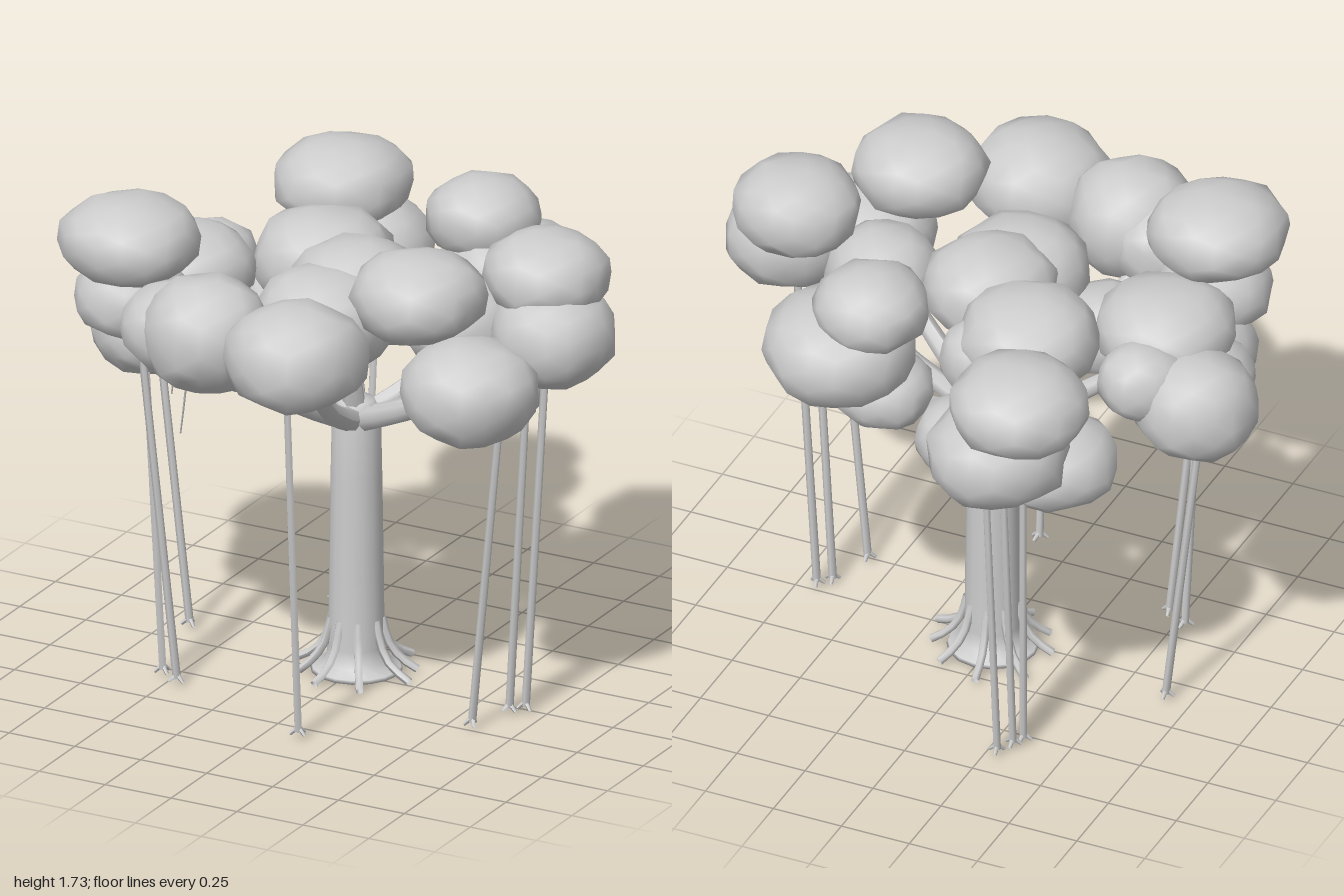
import * as THREE from 'three';
import { mergeVertices } from 'three/addons/utils/BufferGeometryUtils.js';

const V = (x, y, z) => new THREE.Vector3(x, y, z);

function seeded(seed) {
  let s = seed;
  return () => (s = (s * 16807) % 2147483647) / 2147483647;
}

// Tapered limb along a curve
function limb(points, r0, r1, sides = 7, steps = 5) {
  const curve = new THREE.CatmullRomCurve3(points);
  const g = new THREE.TubeGeometry(curve, steps, 1, sides);
  const p = g.attributes.position;
  for (let i = 0; i <= steps; i++) {
    const c = curve.getPointAt(i / steps);
    const r = r0 + (r1 - r0) * (i / steps);
    for (let j = 0; j <= sides; j++) {
      const k = i * (sides + 1) + j;
      const v = V().fromBufferAttribute(p, k).sub(c).multiplyScalar(r).add(c);
      p.setXYZ(k, v.x, v.y, v.z);
    }
  }
  g.computeVertexNormals();
  return g;
}

// Lumpy leaf cushion with full shoulders
function clump(r, h, rand) {
  let g = new THREE.IcosahedronGeometry(1, 2);
  g.deleteAttribute('normal');
  g.deleteAttribute('uv');
  g = mergeVertices(g, 1e-3);
  const p = g.attributes.position;
  for (let i = 0; i < p.count; i++) {
    const k = 0.95 + rand() * 0.1;
    const y = p.getY(i);
    p.setXYZ(i, p.getX(i) * r * k, Math.sign(y) * Math.abs(y) ** 0.85 * h * k, p.getZ(i) * r * k);
  }
  g.computeVertexNormals();
  return g;
}

export function createModel() {
  const tree = new THREE.Group();
  tree.name = 'spreadingTree';
  const grey = new THREE.MeshStandardMaterial({ color: 0xcccccc, side: THREE.DoubleSide });
  grey.name = 'paleGrey';
  const rand = seeded(4711);
  const add = (geo, name, parent) => {
    const m = new THREE.Mesh(geo, grey);
    m.name = name;
    parent.add(m);
    return m;
  };
  const group = (name) => {
    const g = new THREE.Group();
    g.name = name;
    tree.add(g);
    return g;
  };
  const TZ = -0.05;

  // Trunk standing on a thin flared foot
  const profile = [[0, 0.01], [0.155, 0.01], [0.15, 0.022], [0.105, 0.04], [0.095, 0.1], [0.092, 0.35],
    [0.087, 0.7], [0.082, 0.94], [0.06, 0.98], [0, 1.0]].map(([x, y]) => new THREE.Vector2(x, y));
  add(new THREE.LatheGeometry(profile, 16), 'trunk', tree).position.z = TZ;

  // Buttress roots around the foot
  const buttresses = group('buttressRoots');
  for (let i = 0; i < 9; i++) {
    const a = (i / 9) * Math.PI * 2 + 0.2 + rand() * 0.2;
    const reach = 0.19 + rand() * 0.06;
    const at = (r, y) => V(Math.cos(a) * r, y, TZ + Math.sin(a) * r);
    add(limb([at(0.085, 0.2), at(0.11, 0.11), at(0.15, 0.055), at(reach, 0.018)], 0.015, 0.014, 6), 'buttressRoot', buttresses);
  }

  // Main branches fanning out into the crown
  const branches = group('branches');
  for (const [x, y, z] of [[0.38, 1.28, -0.46], [0.66, 1.28, 0], [0.6, 1.24, 0.3], [0.12, 1.35, 0.58],
    [-0.3, 1.3, 0.5], [-0.58, 1.27, 0.1], [-0.35, 1.2, -0.6], [0.02, 1.3, 0.05], [-0.18, 1.3, -0.22]]) {
    const bend = V(x * 0.45, 1.04, TZ + (z - TZ) * 0.45);
    add(limb([V(x * 0.04, 0.91, TZ + (z - TZ) * 0.04), bend, V(x, y, z)], 0.042, 0.024), 'branch', branches);
  }

  // Leaf clumps: centre, radius and half height
  const crown = group('crown');
  for (const [x, y, z, r, h] of [
    // back
    [-0.39, 1.46, -0.68, 0.235, 0.15], [-0.31, 1.25, -0.68, 0.24, 0.17], [-0.41, 1.11, -0.46, 0.22, 0.14],
    [-0.1, 1.14, -0.5, 0.165, 0.13], [0.26, 1.54, -0.46, 0.195, 0.14], [0.37, 1.36, -0.47, 0.26, 0.175],
    [0.24, 1.18, -0.4, 0.17, 0.12],
    // middle
    [-0.21, 1.39, -0.21, 0.24, 0.17], [-0.07, 1.32, -0.28, 0.145, 0.14], [0.03, 1.41, 0, 0.225, 0.16],
    [0.01, 1.36, 0.19, 0.24, 0.17], [-0.29, 1.2, 0.21, 0.17, 0.15],
    // left side
    [0.72, 1.57, -0.05, 0.215, 0.145], [0.79, 1.39, 0.03, 0.21, 0.17], [0.43, 1.35, 0, 0.19, 0.16],
    [0.52, 1.15, 0.04, 0.21, 0.13], [0.44, 1.57, 0.33, 0.225, 0.15], [0.63, 1.26, 0.32, 0.235, 0.18],
    // front
    [0.15, 1.41, 0.65, 0.24, 0.18], [-0.22, 1.4, 0.59, 0.215, 0.2], [-0.36, 1.38, 0.54, 0.185, 0.15],
    // right side
    [-0.63, 1.59, 0.38, 0.235, 0.145], [-0.59, 1.38, 0.06, 0.24, 0.15], [-0.63, 1.38, 0.36, 0.195, 0.14],
    [-0.62, 1.22, 0.22, 0.205, 0.16], [-0.79, 1.24, -0.13, 0.21, 0.18], [-0.72, 1.21, 0.05, 0.185, 0.15],
    [-0.61, 1.32, -0.18, 0.15, 0.13],
  ]) {
    add(clump(r, h, rand), 'leafClump', crown).position.set(x, y, z);
  }

  // Aerial roots from crown to ground, each ending in small toes
  const aerial = group('aerialRoots');
  for (const [tx, ty, tz, fx, fz] of [
    [0.14, 1.32, 0.7, 0.12, 0.58], [0.7, 1.2, 0.23, 0.59, 0.23], [0.71, 1.28, 0.06, 0.64, 0.06],
    [0.74, 1.28, -0.01, 0.68, 0.02], [-0.79, 1.15, -0.1, -0.66, -0.1], [-0.58, 1.3, 0.37, -0.54, 0.31],
    [-0.57, 1.3, 0.42, -0.46, 0.36], [-0.37, 1.12, -0.61, -0.34, -0.54], [-0.32, 1.12, -0.66, -0.32, -0.58],
    [-0.28, 1.12, -0.71, -0.29, -0.64],
  ]) {
    add(limb([V(tx, ty, tz), V(fx, 0.03, fz)], 0.013, 0.014, 6, 2), 'aerialRoot', aerial);
    for (let i = 0; i < 3; i++) {
      const a = i * 2.1 + rand();
      const tip = V(fx + Math.cos(a) * 0.028, 0.02, fz + Math.sin(a) * 0.028);
      add(limb([V(fx, 0.045, fz), tip], 0.009, 0.006, 5, 2), 'rootToe', aerial);
    }
  }

  // Short hanging tendrils
  const tendrils = group('tendrils');
  for (const [x, y, z] of [[-0.6, 0.93, 0.1], [-0.35, 0.98, 0.5]]) {
    add(limb([V(x + 0.02, y + 0.35, z), V(x, y + 0.12, z + 0.01), V(x - 0.02, y, z)], 0.005, 0.003, 4, 4), 'tendril', tendrils);
  }
  return tree;
}
